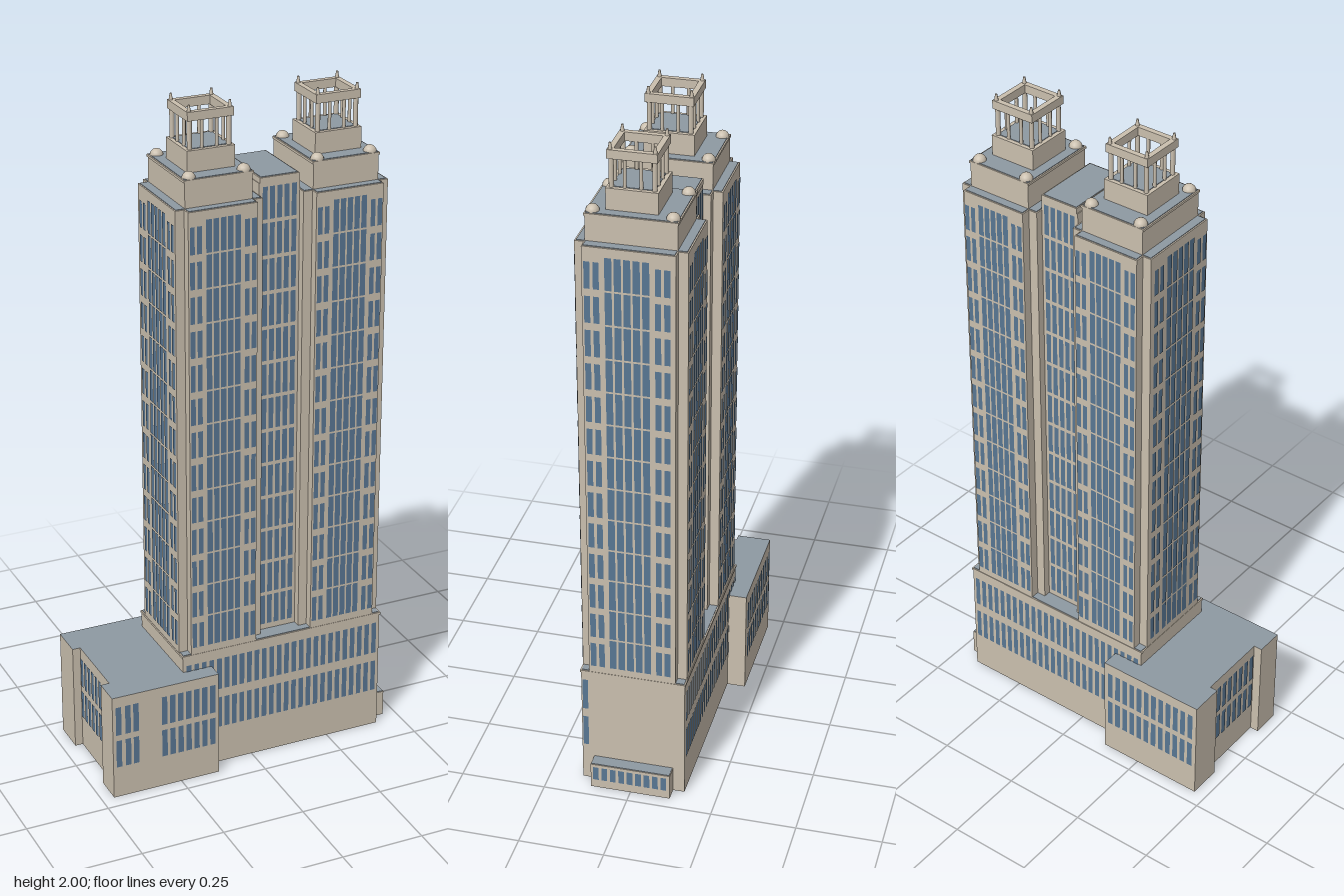
import * as THREE from 'three';
import { mergeGeometries } from 'three/addons/utils/BufferGeometryUtils.js';

const mat = (name, color) => Object.assign(new THREE.MeshStandardMaterial({ color, side: THREE.DoubleSide }), { name });

export function createModel() {
  const stone = mat('stone', 0xcabfae);
  const glass = mat('glass', 0x587693);
  const roofGrey = mat('roofGrey', 0x8e99a2);
  const root = new THREE.Group();
  root.name = 'twinTowerBuilding';

  const add = (parent, name, geo, material, x = 0, y = 0, z = 0) => {
    const m = new THREE.Mesh(geo, material);
    m.name = name;
    m.position.set(x, y, z);
    parent.add(m);
    return m;
  };
  // Box given by its extents
  const block = (parent, name, x0, x1, y0, y1, z0, z1, material = stone) =>
    add(parent, name, new THREE.BoxGeometry(x1 - x0, y1 - y0, z1 - z0), material,
      (x0 + x1) / 2, (y0 + y1) / 2, (z0 + z1) / 2);
  // Thin grey roof plate, inset to leave a stone rim
  const roof = (parent, name, x0, x1, y, z0, z1, inset = 0.004) =>
    block(parent, name, x0 + inset, x1 - inset, y - 0.001, y + 0.002, z0 + inset, z1 - inset, roofGrey);

  // Windows on one wall, as rectangles [u, y0, y1, width]; angle turns the wall about y
  const windows = (parent, name, rects, x, z, angle) => {
    const geos = rects.map(([u, y0, y1, w]) =>
      new THREE.PlaneGeometry(w, y1 - y0).translate(u, (y0 + y1) / 2, 0.002));
    const m = add(parent, name, mergeGeometries(geos), glass, x, 0, z);
    m.rotation.y = angle;
  };
  const spread = (a, b, n) => Array.from({ length: n }, (_, i) => a + (b - a) * i / (n - 1));
  const grid = (cols, rows, w) => rows.flatMap(([a, b]) => cols.map((u) => [u, a, b, w]));

  // Podium
  const podium = new THREE.Group();
  podium.name = 'podium';
  root.add(podium);
  block(podium, 'podiumBody', -0.22, 0.42, 0, 0.375, -0.152, 0.154);
  block(podium, 'podiumCornice', -0.222, 0.423, 0.375, 0.382, -0.154, 0.156);
  roof(podium, 'podiumRoof', -0.222, 0.423, 0.382, -0.154, 0.156);
  const podRows = [[0.12, 0.22], [0.248, 0.35]];
  const podCols = spread(-0.302, 0.302, 26);
  windows(podium, 'podiumFrontWindows', grid(podCols, podRows, 0.015), 0.1, 0.154, 0);
  windows(podium, 'podiumBackWindows', grid(podCols, podRows, 0.015), 0.1, -0.152, Math.PI);
  windows(podium, 'podiumEndWindows', grid([-0.142], podRows, 0.016), 0.42, 0, Math.PI / 2);

  // Low side wing: wall ribbon with a recess on its end, open underneath
  const wing = new THREE.Group();
  wing.name = 'sideWing';
  root.add(wing);
  const outline = [[-0.13, 0.15], [-0.13, 0.205], [-0.463, 0.205], [-0.463, 0.12], [-0.437, 0.12],
    [-0.437, -0.105], [-0.461, -0.105], [-0.461, -0.207], [-0.127, -0.207], [-0.127, -0.15]];
  for (let i = 0; i < outline.length - 1; i++) {
    const [ax, az] = outline[i], [bx, bz] = outline[i + 1];
    const wall = add(wing, 'wingWall', new THREE.PlaneGeometry(Math.hypot(bx - ax, bz - az), 0.33), stone,
      (ax + bx) / 2, 0.165, (az + bz) / 2);
    wall.rotation.y = Math.atan2(bz - az, -(bx - ax));
  }
  const roofShape = new THREE.Shape(outline.map(([x, z]) => new THREE.Vector2(x, -z)));
  add(wing, 'wingRoof', new THREE.ShapeGeometry(roofShape).rotateX(-Math.PI / 2), roofGrey, 0, 0.33, 0);
  const wingRows = [[0.1, 0.188], [0.206, 0.298]];
  const frontCols = [-0.445, -0.416, -0.391, ...spread(-0.302, -0.15, 7)];
  windows(wing, 'wingFrontWindows', grid(frontCols, wingRows, 0.017), 0, 0.205, 0);
  windows(wing, 'wingBackWindows', grid(spread(0.15, 0.44, 12), wingRows, 0.017), 0, -0.207, Math.PI);
  windows(wing, 'wingEndWindows', grid(spread(-0.09, 0.105, 8), wingRows, 0.018), -0.437, 0, -Math.PI / 2);

  // Small entrance lodge at the other end
  const lodge = new THREE.Group();
  lodge.name = 'entranceLodge';
  root.add(lodge);
  block(lodge, 'lodgeBody', 0.42, 0.461, 0, 0.08, -0.118, 0.119);
  roof(lodge, 'lodgeRoof', 0.42, 0.461, 0.08, -0.118, 0.119, 0.002);
  windows(lodge, 'lodgeWindows', grid(spread(-0.103, 0.1, 9), [[0.028, 0.072]], 0.017), 0.461, 0, Math.PI / 2);

  // Tower wall pattern: tall middle strips flanked by pairs of shorter windows
  const facade = (s) => {
    const out = [];
    for (let i = 0; i < 13; i++) {
      const y = 0.402 + i * 0.1005;
      for (const u of spread(-0.043, 0.043, 5)) out.push([u * s, y + 0.003, y + 0.098, 0.0165 * s]);
      for (const u of [-0.092, -0.071, 0.071, 0.092]) out.push([u * s, y + 0.003, y + 0.082, 0.014 * s]);
    }
    return out;
  };

  const buildTower = (cx, side) => {
    const t = new THREE.Group();
    t.name = side < 0 ? 'rightTower' : 'leftTower';
    t.position.x = cx;
    root.add(t);
    // Cross-shaped shaft
    block(t, 'shaftWide', -0.13, 0.13, 0.38, 1.732, -0.125, 0.129);
    block(t, 'shaftDeep', -0.103, 0.103, 0.38, 1.732, -0.152, 0.155);
    roof(t, 'shaftRoofWide', -0.13, 0.13, 1.732, -0.125, 0.129);
    roof(t, 'shaftRoofDeep', -0.103, 0.103, 1.732, -0.152, 0.155);
    windows(t, 'towerFrontWindows', facade(1), 0, 0.155, 0);
    windows(t, 'towerBackWindows', facade(1), 0, -0.152, Math.PI);
    windows(t, 'towerSideWindows', facade(1.18), side * 0.13, 0.006, side * Math.PI / 2);
    // Crown with ball ornaments
    block(t, 'crown', -0.1, 0.1, 1.732, 1.806, -0.123, 0.127);
    block(t, 'crownCornice', -0.103, 0.103, 1.806, 1.813, -0.125, 0.129);
    roof(t, 'crownRoof', -0.103, 0.103, 1.813, -0.125, 0.129);
    for (const x of [-0.081, 0.081]) for (const z of [-0.106, 0.11])
      add(t, 'ballOrnament', new THREE.SphereGeometry(0.019, 16, 10), stone, x, 1.813, z);
    // Open lantern
    const l = new THREE.Group();
    l.name = 'lantern';
    l.position.z = 0.007;
    t.add(l);
    block(l, 'lanternBase', -0.071, 0.071, 1.81, 1.876, -0.071, 0.071);
    roof(l, 'lanternFloor', -0.071, 0.071, 1.876, -0.071, 0.071, 0.012);
    for (const s of [-1, 1]) {
      block(l, 'lanternBeam', -0.068, 0.068, 1.957, 1.982, s * 0.06 - 0.008, s * 0.06 + 0.008);
      block(l, 'lanternBeam', s * 0.06 - 0.008, s * 0.06 + 0.008, 1.957, 1.982, -0.052, 0.052);
      for (const r of [-1, 1]) {
        add(l, 'cornerColumn', new THREE.CylinderGeometry(0.007, 0.007, 0.083, 10), stone, s * 0.058, 1.916, r * 0.058);
        add(l, 'finial', new THREE.CylinderGeometry(0.003, 0.006, 0.018, 8), stone, s * 0.06, 1.991, r * 0.06);
        add(l, 'middleColumn', new THREE.CylinderGeometry(0.005, 0.005, 0.083, 8), stone, s * 0.058, 1.916, r * 0.022);
        add(l, 'middleColumn', new THREE.CylinderGeometry(0.005, 0.005, 0.083, 8), stone, r * 0.022, 1.916, s * 0.058);
      }
    }
  };
  buildTower(-0.091, -1);
  buildTower(0.292, 1);

  // Recessed link between the towers
  const link = new THREE.Group();
  link.name = 'towerLink';
  root.add(link);
  block(link, 'linkBody', 0.039, 0.162, 0.38, 1.765, -0.103, 0.105);
  block(link, 'linkCornice', 0.041, 0.16, 1.765, 1.781, -0.105, 0.107);
  roof(link, 'linkRoof', 0.041, 0.16, 1.781, -0.105, 0.107);
  const linkRows = spread(0.402, 1.66, 13).map((y) => [y, y + 0.094]);
  const linkCols = spread(-0.044, 0.044, 5);
  windows(link, 'linkFrontWindows', grid(linkCols, linkRows, 0.015), 0.1005, 0.105, 0);
  windows(link, 'linkBackWindows', grid(linkCols, linkRows, 0.015), 0.1005, -0.103, Math.PI);

  return root;
}
